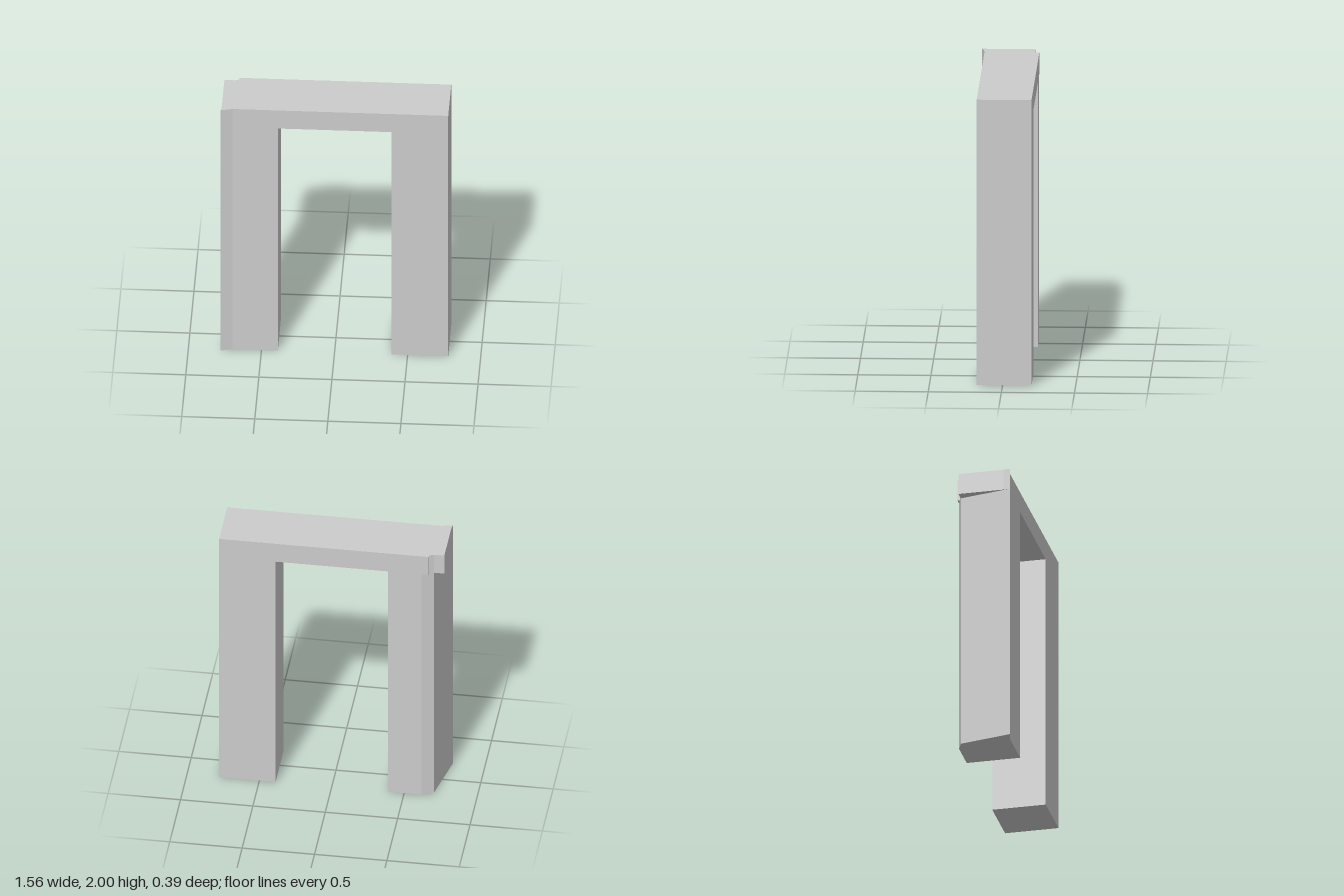
import * as THREE from 'three';

const material = new THREE.MeshStandardMaterial({ color: 0xcccccc, flatShading: true });
const BACK = -0.198, FRONT = 0.177, END = 0.778, INNER = 0.388, SOFFIT = 1.85, TOP = 2;

// Upright prism from a plan outline of [x, z] points
function prism(name, outline, bottom, top) {
  const shape = new THREE.Shape(outline.map(([x, z]) => new THREE.Vector2(x, -z)));
  const geometry = new THREE.ExtrudeGeometry(shape, { depth: top - bottom, bevelEnabled: false });
  geometry.rotateX(-Math.PI / 2).translate(0, bottom, 0);
  const mesh = new THREE.Mesh(geometry, material);
  mesh.name = name;
  return mesh;
}

export function createModel() {
  const group = new THREE.Group();
  group.name = 'archway';

  // Front corner flare and back chamfer shared by the skewed post and the lintel
  const flare = [[-0.7, FRONT], [-END, 0.197]];
  const chamferEnd = [-0.7, -0.167];

  // Square post
  group.add(prism('leftPost',
    [[INNER, FRONT], [END, FRONT], [END, BACK], [INNER, BACK]], 0, SOFFIT));

  // Skewed post, with its outer side angled inward to the back
  group.add(prism('rightPost',
    [[-INNER, FRONT], ...flare, chamferEnd, [-0.62, BACK], [-INNER, BACK]], 0, SOFFIT));

  // Lintel, stepped at the back corner and overhanging the skewed post
  group.add(prism('lintel',
    [[END, FRONT], ...flare, [-0.773, 0.15], [-0.773, -0.167], chamferEnd,
      [-0.67, -0.179], [-0.67, BACK], [END, BACK]], SOFFIT, TOP));

  return group;
}
